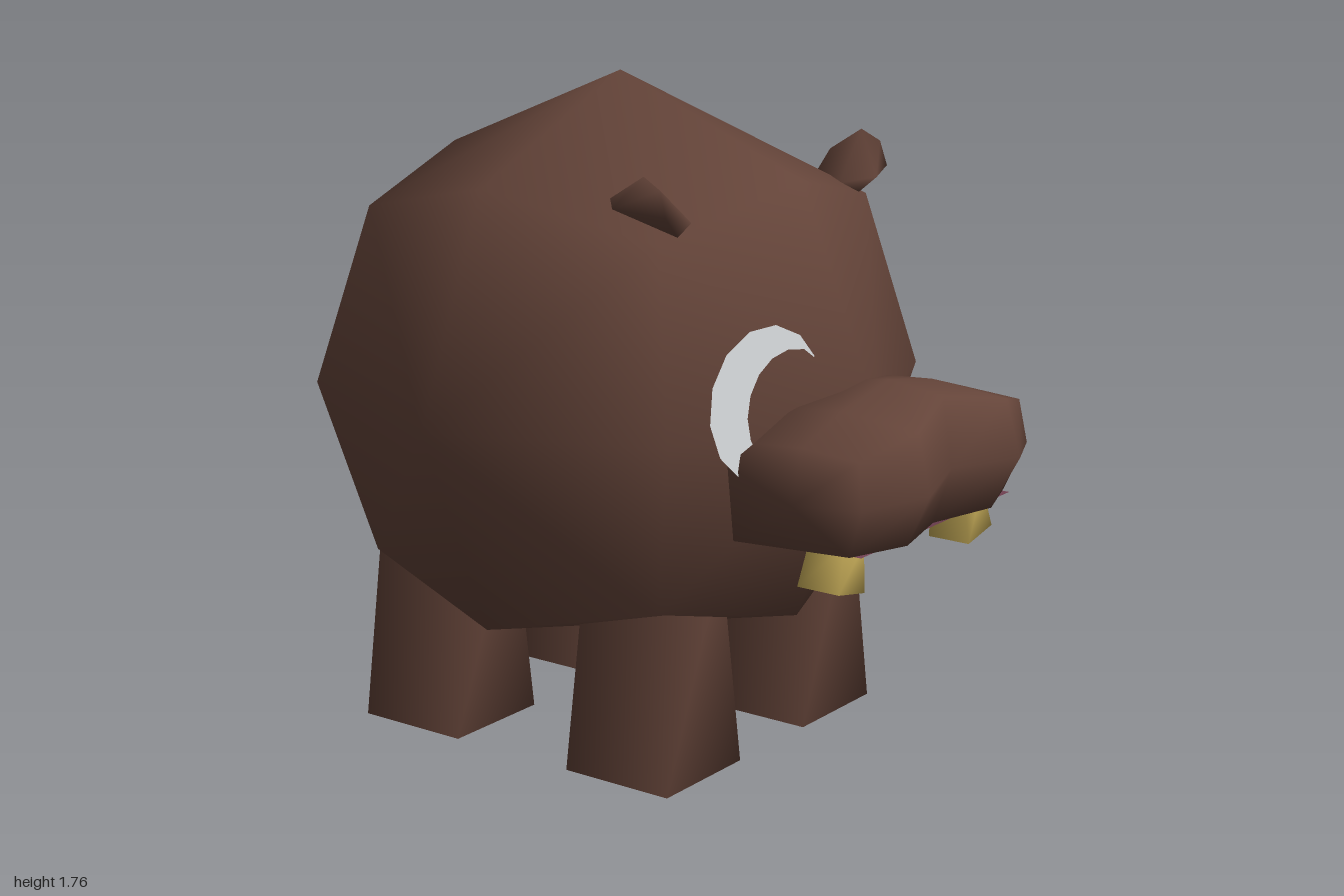
import * as THREE from 'three';
import { mergeVertices } from 'three/addons/utils/BufferGeometryUtils.js';
import { ConvexGeometry } from 'three/addons/geometries/ConvexGeometry.js';

const material = (name, color, side = THREE.FrontSide) => {
  const m = new THREE.MeshStandardMaterial({ color, side });
  m.name = name;
  return m;
};

// Weld the corners so the low-poly shape is shaded smoothly
function smooth(geometry) {
  geometry.deleteAttribute('normal');
  geometry.deleteAttribute('uv');
  const welded = mergeVertices(geometry, 1e-4);
  welded.clearGroups();
  welded.computeVertexNormals();
  return welded;
}

const hull = (points) => smooth(new ConvexGeometry(points.map((p) => new THREE.Vector3(...p))));

// Rounded cube: corners, edge middles and face middles pushed onto a sphere
function bodyGeometry() {
  const points = [];
  for (let x = -1; x <= 1; x++) for (let y = -1; y <= 1; y++) for (let z = -1; z <= 1; z++) {
    if (!x && !y && !z) continue;
    const p = new THREE.Vector3(x, y, z).setLength(0.813);
    if (!x && !z && y < 0) p.y = -0.71; // flattened belly
    points.push([p.x, p.y + 0.95, p.z - 0.1]);
  }
  return hull(points);
}

// Box with different top and bottom sizes, open where it joins the model above
function taperedBox(topW, bottomW, height, topD, bottomD) {
  const geometry = new THREE.BoxGeometry(1, height, 1);
  const pos = geometry.attributes.position;
  for (let i = 0; i < pos.count; i++) {
    const top = pos.getY(i) > 0;
    pos.setX(i, pos.getX(i) * (top ? topW : bottomW));
    pos.setZ(i, pos.getZ(i) * (top ? topD : bottomD));
  }
  const index = Array.from(geometry.index.array);
  index.splice(12, 6); // the hidden top face
  geometry.setIndex(index);
  return smooth(geometry);
}

// Snout: side profiles [z, y] lofted across x, with a dip in the middle
function snoutGeometry() {
  const middle = [[0.53, 0.68], [0.88, 0.70], [0.93, 0.85], [0.90, 1.03], [0.74, 1.05], [0.60, 1.03], [0.53, 0.92]];
  const lobe = [[0.53, 0.68], [0.93, 0.70], [1.0, 0.84], [0.96, 0.99], [0.74, 1.01], [0.60, 1.0], [0.53, 0.91]];
  const cheek = [[0.53, 0.68], [0.87, 0.70], [0.92, 0.83], [0.90, 0.945], [0.74, 0.955], [0.60, 0.945], [0.53, 0.88]];
  const sections = [[-0.4, cheek], [-0.22, lobe], [0, middle], [0.22, lobe], [0.4, cheek]];
  const n = middle.length;
  const vertices = [], index = [];
  for (const [x, loop] of sections) {
    loop.forEach(([z, y]) => vertices.push(y < 0.75 ? x * 0.93 : y > 0.9 ? x * 0.97 : x, y, z));
  }
  const rightTip = sections.length * n, leftTip = rightTip + 1;
  vertices.push(-0.43, 0.82, 0.74, 0.43, 0.82, 0.74);
  const last = (sections.length - 1) * n;
  for (let j = 0; j < n; j++) {
    const k = (j + 1) % n;
    for (let i = 0; i < last; i += n) {
      index.push(i + j, i + n + j, i + n + k, i + j, i + n + k, i + k);
    }
    index.push(rightTip, j, k, leftTip, last + k, last + j);
  }
  const geometry = new THREE.BufferGeometry();
  geometry.setAttribute('position', new THREE.Float32BufferAttribute(vertices, 3));
  geometry.setIndex(index);
  geometry.computeVertexNormals();
  return geometry;
}

// Mouth: downward sheet that sags in the middle
function mouthGeometry() {
  const geometry = new THREE.PlaneGeometry(0.72, 0.36, 4, 2).rotateX(Math.PI / 2);
  const pos = geometry.attributes.position;
  for (let i = 0; i < pos.count; i++) {
    const u = pos.getX(i) / 0.36, v = pos.getZ(i) / 0.18;
    const sag = v > 0.5 ? 0 : v < -0.5 ? 0.04 : 0.075;
    pos.setY(i, 0.70 - sag * (1 - u * u));
  }
  geometry.computeVertexNormals();
  return geometry;
}

// Crescent: outer arc run one way, inner arc run back
function crescentGeometry() {
  const points = [];
  const arc = (cx, cy, r, from, to, steps) => {
    for (let i = 0; i <= steps; i++) {
      const a = THREE.MathUtils.degToRad(from + ((to - from) * i) / steps);
      points.push(new THREE.Vector2(cx + r * Math.cos(a), cy + r * Math.sin(a)));
    }
  };
  arc(0, 0, 0.197, 25, 265, 9);
  arc(0.085, -0.03, 0.155, 220, 50, 8);
  return new THREE.ShapeGeometry(new THREE.Shape(points));
}

export function createModel() {
  const model = new THREE.Group();
  const brown = material('brown hide', 0x644439);
  const ivory = material('yellow ivory', 0xd4b85f);
  const pink = material('dark pink mouth', 0x764456, THREE.DoubleSide);
  const white = material('eye white', 0xd8dcde, THREE.DoubleSide);

  const add = (name, geometry, mat, x = 0, y = 0, z = 0) => {
    const mesh = new THREE.Mesh(geometry, mat);
    mesh.name = name;
    mesh.position.set(x, y, z);
    model.add(mesh);
    return mesh;
  };

  add('body', bodyGeometry(), brown);
  add('snout', snoutGeometry(), brown);
  add('mouth', mouthGeometry(), pink, 0, 0, 0.715);

  // Tail: small pointed wedge
  add('tail', hull([
    [0, 0.95, -0.9], [0.05, 0.9, -0.93], [-0.05, 0.9, -0.93], [0.05, 0.84, -0.85],
    [-0.05, 0.84, -0.85], [0, 0.75, -1.0], [0, 0.92, -0.8],
  ]), brown);

  const legGeometry = taperedBox(0.25, 0.325, 0.56, 0.25, 0.325);
  const toothGeometry = taperedBox(0.092, 0.12, 0.12, 0.10, 0.12);
  for (const side of [-1, 1]) {
    const label = side > 0 ? 'left' : 'right';
    add(`${label}FrontLeg`, legGeometry, brown, side * 0.312, 0.28, 0.24);
    add(`${label}BackLeg`, legGeometry, brown, side * 0.312, 0.28, -0.455);
    add(`${label}Tooth`, toothGeometry, ivory, side * 0.3, 0.645, 0.78).rotation.z = side * 0.2;
    add(`${label}Ear`, hull([
      [0.385, 1.455, 0.34], [0.41, 1.432, 0.385], [0.42, 1.475, 0.433], [0.41, 1.475, 0.25], [0.49, 1.525, 0.24],
      [0.488, 1.588, 0.34], [0.495, 1.56, 0.395], [0.5, 1.495, 0.415], [0.495, 1.5, 0.25],
    ].map(([x, y, z]) => [side * x, y, z])), brown);
  }

  // Single crescent eye on the right of the face
  const eye = add('rightEye', crescentGeometry(), white, -0.297, 1.02, 0.577);
  eye.rotation.set(-0.06, -0.19, 0);

  return model;
}
